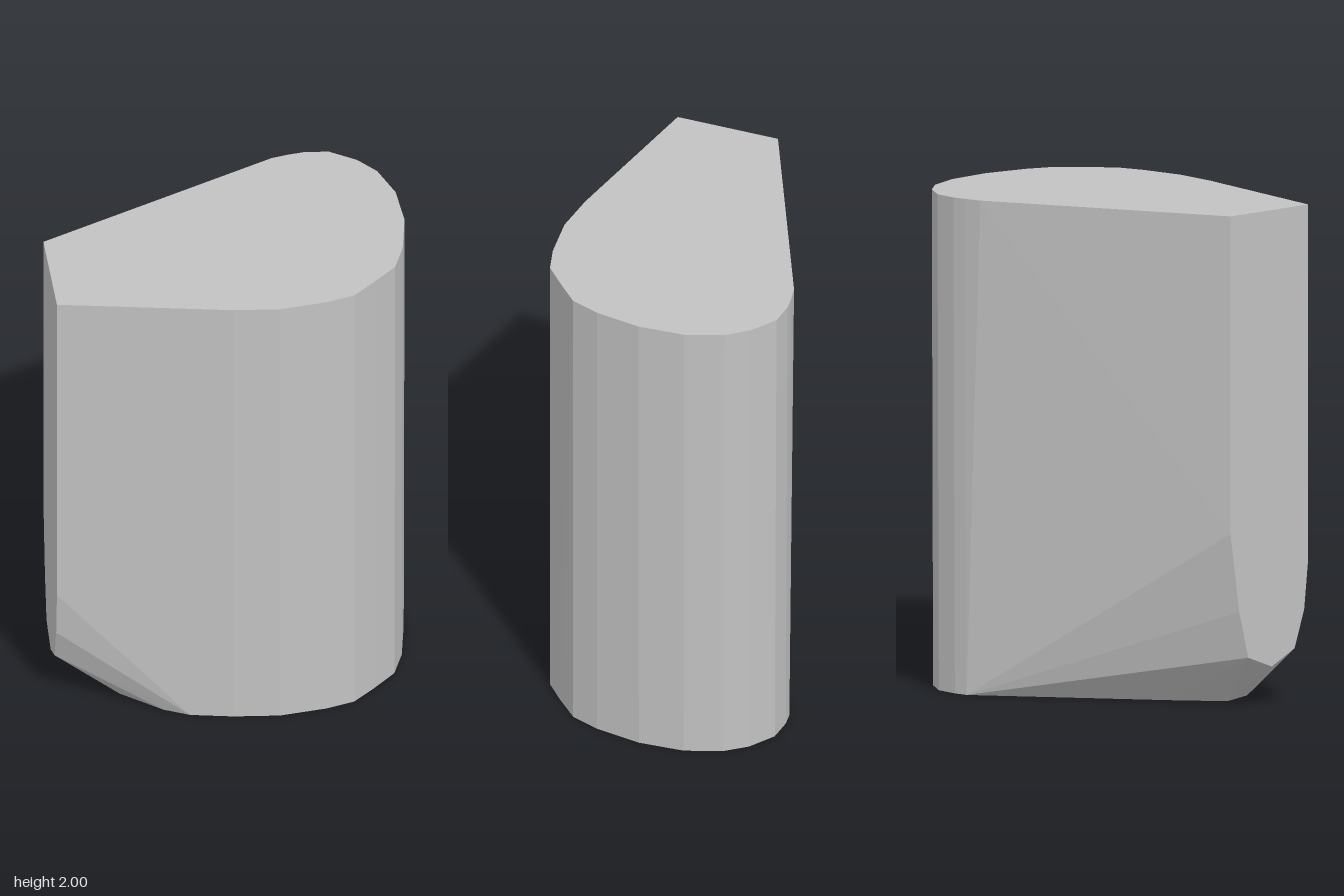
import * as THREE from 'three';
import { ConvexGeometry } from 'three/addons/geometries/ConvexGeometry.js';

export function createModel() {
  const group = new THREE.Group();
  group.name = 'taperedColumn';

  const stone = new THREE.MeshStandardMaterial({ color: 0xc2c2c2 });
  stone.name = 'light grey';

  // Rounded part of the teardrop outline as [x, z], from back to front
  const curve = [
    [0.25, -0.5], [0.32, -0.515], [0.38, -0.523], [0.48, -0.515], [0.585, -0.445],
    [0.655, -0.36], [0.71, -0.21], [0.722, -0.02], [0.69, 0.17], [0.645, 0.29],
    [0.55, 0.38], [0.46, 0.46], [0.345, 0.493], [0.155, 0.517], [-0.03, 0.5],
  ];

  // Narrow flat end as [y, z], rounded off towards the bottom
  const flatEnd = [
    [2, -0.053], [0.72, -0.053], [0.4, -0.005], [0.21, 0.045],
    [0.16, 0.175], [0.22, 0.3], [0.37, 0.353], [0.57, 0.375], [2, 0.375],
  ];

  // Base edge where the lower corner is cut away, as [x, z]
  const cutEdge = [[-0.33, -0.017], [-0.51, 0.134], [-0.46, 0.29], [-0.3, 0.42], [-0.2, 0.468]];

  const points = [];
  curve.forEach(([x, z], i) => {
    points.push(new THREE.Vector3(x, 2, z));
    // The base is a touch smaller on the rounded back
    const taper = z < 0 ? 0.985 : 1;
    if (i > 0) points.push(new THREE.Vector3(x > 0.6 ? x * 0.995 : x, 0, z * taper));
  });
  flatEnd.forEach(([y, z]) => points.push(new THREE.Vector3(-0.722, y, z)));
  cutEdge.forEach(([x, z]) => points.push(new THREE.Vector3(x, 0, z)));

  // Faceted convex body
  const body = new THREE.Mesh(new ConvexGeometry(points), stone);
  body.name = 'columnBody';
  group.add(body);
  return group;
}
